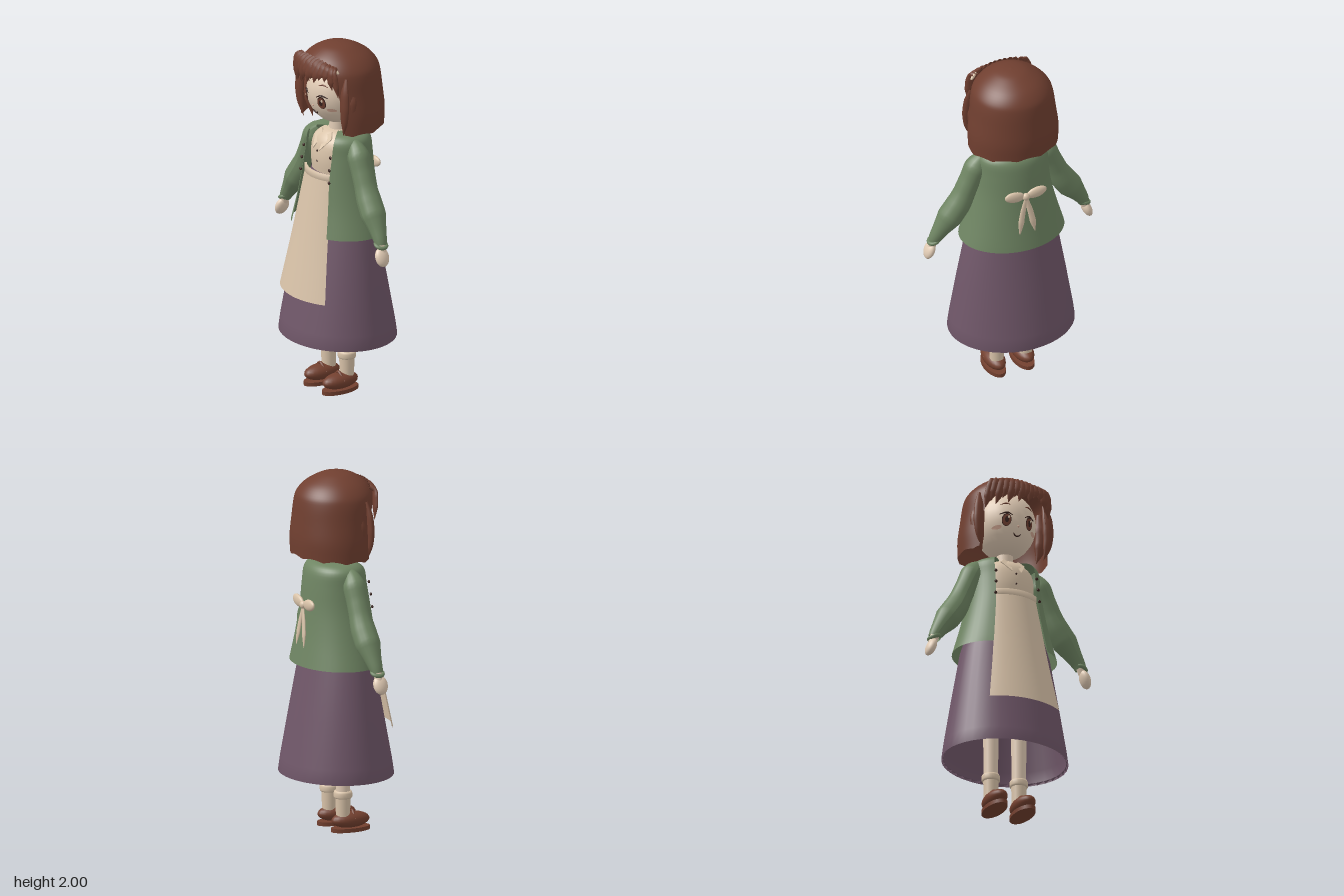
import * as THREE from 'three';

const mat = (name, color, side = THREE.FrontSide) => {
  const m = new THREE.MeshStandardMaterial({ color, side });
  m.name = name;
  return m;
};

export function createModel() {
  const D = THREE.DoubleSide;
  const M = {
    skin: mat('skin', 0xe3cdb6),
    cream: mat('cream cloth', 0xd9c3a9, D),
    green: mat('green knit', 0x6f8563, D),
    purple: mat('purple skirt', 0x705769, D),
    hair: mat('brown hair', 0x703f30, D),
    shoe: mat('shoe leather', 0x73402f),
    dark: mat('dark brown', 0x38221d, D),
    cheek: mat('blush', 0xcfa590, D),
  };
  const root = new THREE.Group();
  root.name = 'girl';
  const add = (name, geo, m, parent = root) => {
    const mesh = new THREE.Mesh(geo, m);
    mesh.name = name;
    parent.add(mesh);
    return mesh;
  };

  // Elliptical shell, rings bottom to top: [y, rx, rz, centreZ, open half-angle].
  // With front = true only the front sector inside that half-angle is kept.
  function shell(rings, { seg = 40, steps = 4, front = false, warp } = {}) {
    const spline = (f) => new THREE.CatmullRomCurve3(rings.map(f), false, 'catmullrom', 0.5);
    const c1 = spline((r) => new THREE.Vector3(r[0], r[1], r[2]));
    const c2 = spline((r) => new THREE.Vector3(r[3] ?? 0, r[4] ?? 0, 0));
    const n = (rings.length - 1) * steps;
    const closed = !front && rings.every((r) => !r[4]);
    const cols = closed ? seg : seg + 1;
    const pos = [], idx = [];
    for (let i = 0; i <= n; i++) {
      const p = c1.getPoint(i / n), q = c2.getPoint(i / n), open = Math.max(q.y, 0);
      const a0 = front ? -open : open, a1 = front ? open : 2 * Math.PI - open;
      for (let j = 0; j < cols; j++) {
        const a = a0 + ((a1 - a0) * j) / seg;
        const y = warp ? warp(p.x, a) : p.x;
        pos.push(p.y * Math.sin(a), y, q.x + p.z * Math.cos(a));
      }
    }
    for (let i = 0; i < n; i++) for (let j = 0; j < seg; j++) {
      const k = (j + 1) % cols, a = i * cols, b = a + cols;
      idx.push(a + j, a + k, b + k, a + j, b + k, b + j);
    }
    const g = new THREE.BufferGeometry();
    g.setAttribute('position', new THREE.Float32BufferAttribute(pos, 3));
    g.setIndex(idx);
    g.computeVertexNormals();
    return g;
  }

  // Tube with varying radius: points [x, y, z, r]; flat squeezes its depth.
  function limb(pts, { flat = 1, n = 18, sides = 12 } = {}) {
    const curve = new THREE.CatmullRomCurve3(pts.map((p) => new THREE.Vector3(p[0], p[1], p[2])));
    const g = new THREE.TubeGeometry(curve, n, 1, sides, false);
    const pos = g.attributes.position;
    for (let i = 0; i < pos.count; i++) {
      const t = Math.floor(i / (sides + 1)) / n, P = curve.getPointAt(t);
      const u = t * (pts.length - 1), k = Math.min(Math.floor(u), pts.length - 2);
      const r = THREE.MathUtils.lerp(pts[k][3], pts[k + 1][3], u - k);
      pos.setXYZ(i, P.x + (pos.getX(i) - P.x) * r, P.y + (pos.getY(i) - P.y) * r,
        P.z + (pos.getZ(i) - P.z) * r * flat);
    }
    g.computeVertexNormals();
    return g;
  }

  const ball = (name, m, [x, y, z], [sx, sy, sz], rz = 0) => {
    const b = add(name, new THREE.SphereGeometry(1, 24, 16), m);
    b.position.set(x, y, z);
    b.scale.set(sx, sy, sz);
    b.rotation.z = rz;
    return b;
  };
  const rod = (name, m, [x, y, z], rTop, rBottom, h) => {
    const c = add(name, new THREE.CylinderGeometry(rTop, rBottom, h, 20), m);
    c.position.set(x, y, z);
    return c;
  };

  // Clothes
  add('skirt', shell([[0.33, 0.343, 0.293], [0.32, 0.355, 0.305], [0.4, 0.345, 0.293], [0.65, 0.306, 0.247],
    [0.94, 0.257, 0.193], [1.15, 0.19, 0.155], [1.275, 0.155, 0.136]], { steps: 1 }), M.purple);
  add('blouse', shell([[1.25, 0.15, 0.13], [1.35, 0.16, 0.138], [1.44, 0.15, 0.122],
    [1.49, 0.09, 0.08], [1.505, 0.04, 0.04]]), M.cream);
  add('cardigan', shell([[0.94, 0.298, 0.235, -0.005, 0.58], [1.1, 0.252, 0.207, -0.005, 0.6],
    [1.25, 0.218, 0.187, -0.005, 0.62], [1.38, 0.203, 0.17, -0.01, 0.64], [1.46, 0.197, 0.157, -0.01, 0.66],
    [1.495, 0.16, 0.128, -0.01, 0.7], [1.505, 0.1, 0.085, -0.01, 0.75], [1.5, 0.06, 0.055, -0.01, 0.8]]), M.green);
  add('apron', shell([[0.58, 0.34, 0.3, 0, 0.67], [0.9, 0.265, 0.236, 0, 0.67], [1.27, 0.19, 0.166, 0, 0.69]],
    { front: true, seg: 20 }), M.cream);
  add('apronWaistband', shell([[1.25, 0.185, 0.16, 0, 0.72], [1.25, 0.195, 0.174, 0, 0.7],
    [1.285, 0.193, 0.172, 0, 0.7], [1.285, 0.183, 0.158, 0, 0.72]], { front: true, seg: 20, steps: 1 }), M.cream);

  // Apron bow at the back
  ball('bowKnot', M.cream, [0, 1.27, -0.2], [0.022, 0.022, 0.018]);
  for (const s of [-1, 1]) {
    ball('bowLoop', M.cream, [s * 0.065, 1.28, -0.195], [0.06, 0.032, 0.017], s * 0.15);
    add('bowTail', limb([[0, 1.26, -0.2, 0.01], [s * 0.025, 1.16, -0.207, 0.016], [s * 0.045, 1.04, -0.217, 0.018],
      [s * 0.046, 1.03, -0.217, 0.001]], { flat: 0.45 }), M.cream);
  }

  // Blouse collar and buttons
  for (const s of [-1, 1]) {
    const flap = new THREE.Shape([[0.008, 1.475], [0.028, 1.405], [0.072, 1.47], [0.045, 1.5]]
      .map(([x, y]) => new THREE.Vector2(s * x, y)));
    const g = new THREE.ExtrudeGeometry(flap, { depth: 0.008, bevelEnabled: false });
    const p = g.attributes.position;
    for (let i = 0; i < p.count; i++) p.setZ(i, p.getZ(i) + 0.065 + (1.5 - p.getY(i)) * 0.78);
    g.computeVertexNormals();
    add('collarFlap', g, M.cream);
    for (const [x, y, z] of [[0.124, 1.39, 0.138], [0.128, 1.32, 0.148], [0.133, 1.25, 0.153]])
      ball('cardiganButton', M.dark, [s * x, y, z], [0.009, 0.009, 0.006]);
  }
  for (const y of [1.395, 1.335]) ball('blouseButton', M.dark, [0, y, 0.137], [0.006, 0.006, 0.005]);

  // Arms, legs and shoes
  for (const s of [-1, 1]) {
    add('sleeve', limb([[s * 0.15, 1.465, 0.005, 0.03], [s * 0.19, 1.425, 0.008, 0.064], [s * 0.24, 1.32, 0.01, 0.06],
      [s * 0.3, 1.19, 0.012, 0.061], [s * 0.36, 1.1, 0.017, 0.069], [s * 0.405, 1.035, 0.022, 0.07],
      [s * 0.438, 0.98, 0.028, 0.048], [s * 0.446, 0.96, 0.03, 0.032]], { n: 32, sides: 18 }), M.green);
    const cuff = add('cuff', new THREE.TorusGeometry(0.03, 0.011, 10, 24), M.green);
    cuff.position.set(s * 0.446, 0.964, 0.03);
    cuff.rotation.set(Math.PI / 2, s * -0.4, 0);
    rod('wrist', M.skin, [s * 0.452, 0.945, 0.032], 0.025, 0.022, 0.05).rotation.z = s * 0.35;
    ball('hand', M.skin, [s * 0.468, 0.9, 0.038], [0.026, 0.054, 0.042], s * 0.38);

    const x = s * 0.085;
    rod('leg', M.skin, [x, 0.38, 0], 0.045, 0.038, 0.42);
    rod('sock', M.cream, [x, 0.14, 0], 0.043, 0.038, 0.14);
    const top = add('sockCuff', new THREE.CapsuleGeometry(0.012, 0.022, 6, 12), M.cream);
    top.geometry = new THREE.LatheGeometry([[0.036, 0.186], [0.047, 0.188], [0.051, 0.196], [0.051, 0.216],
      [0.047, 0.226], [0.036, 0.228]].map(([a, b]) => new THREE.Vector2(a, b)), 24);
    top.position.x = x;
    ball('shoe', M.shoe, [x, 0.062, 0.045], [0.056, 0.045, 0.112]);
    rod('sole', M.shoe, [x, 0.011, 0.045], 1, 1, 0.022).scale.set(0.055, 1, 0.115);
    add('shoeStrap', limb([[x - 0.05, 0.07, 0.05, 0.008], [x, 0.113, 0.055, 0.008], [x + 0.05, 0.07, 0.05, 0.008]],
      { sides: 8 }), M.shoe);
  }

  // Neck and head
  rod('neck', M.skin, [0, 1.53, 0], 0.045, 0.047, 0.1);
  const H = { y: 1.73, rx: 0.168, ry: 0.19, rz: 0.173 };
  ball('head', M.skin, [0, H.y, 0], [H.rx, H.ry, H.rz]);
  const faceZ = (x, y) => H.rz * Math.sqrt(Math.max(0, 1 - (x / H.rx) ** 2 - ((y - H.y) / H.ry) ** 2));

  // Face details laid on the head
  function patch(name, m, x, y, w, h, lift) {
    const g = new THREE.CircleGeometry(1, 24), p = g.attributes.position;
    for (let i = 0; i < p.count; i++) {
      const px = x + p.getX(i) * w, py = y + p.getY(i) * h;
      p.setXYZ(i, px, py, faceZ(px, py) + lift);
    }
    g.computeVertexNormals();
    add(name, g, m);
  }
  const line = (name, m, pts, r) => add(name, limb(pts.map(([x, y], i) =>
    [x, y, faceZ(x, y) + 0.002, i % (pts.length - 1) ? r : r * 0.4]), { sides: 8 }), m);
  for (const s of [-1, 1]) {
    patch('eyeOutline', M.dark, s * 0.068, 1.698, 0.024, 0.036, 0.003);
    patch('iris', M.hair, s * 0.068, 1.696, 0.021, 0.032, 0.005);
    patch('pupil', M.dark, s * 0.068, 1.698, 0.01, 0.017, 0.007);
    patch('eyeShine', M.cream, s * 0.068 + 0.008, 1.711, 0.006, 0.008, 0.009);
    patch('cheek', M.cheek, s * 0.108, 1.658, 0.02, 0.011, 0.004);
    line('eyelash', M.dark, [[s * 0.038, 1.726], [s * 0.066, 1.74], [s * 0.102, 1.73]], 0.005);
    line('brow', M.hair, [[s * 0.045, 1.792], [s * 0.068, 1.799], [s * 0.095, 1.79]], 0.004);
  }
  ball('nose', M.cheek, [0, 1.667, faceZ(0, 1.667)], [0.006, 0.005, 0.006]);
  line('mouth', M.dark, [[-0.022, 1.632], [-0.01, 1.62], [0, 1.618], [0.01, 1.62], [0.022, 1.632]], 0.004);

  // Hair: open-fronted bob with a ragged hem, then locks
  const hem = (y, a) => y + Math.max(0, (1.7 - y) / 0.16) * (0.012 * Math.abs(Math.sin(a * 5.5)) - 0.012
    + 0.018 * Math.max(0, -Math.cos(a)));
  add('hairCap', shell([[1.54, 0.25, 0.218, -0.028, 0.95], [1.64, 0.251, 0.222, -0.027, 0.92],
    [1.75, 0.238, 0.22, -0.02, 0.88], [1.84, 0.227, 0.217, -0.013, 0.75], [1.89, 0.21, 0.205, -0.01, 0.12],
    [1.94, 0.165, 0.165, -0.006, 0.001], [1.98, 0.1, 0.1, 0, 0.001], [1.995, 0.05, 0.05, 0, 0.001],
    [2, 0.001, 0.001, 0, 0.001]], { seg: 72, warp: hem }), M.hair);
  const arc = (x, depth) => depth * Math.sqrt(1 - (x / 0.27) ** 2);
  // Fringe locks: [rootX, tipX, tipY]
  for (const [a, b, y] of [[-0.14, -0.19, 1.75], [-0.12, -0.165, 1.79], [-0.085, -0.14, 1.77], [-0.06, -0.105, 1.81],
    [-0.03, -0.075, 1.785], [0, -0.045, 1.82], [0.025, -0.015, 1.8], [0.05, 0.015, 1.83], [0.075, 0.045, 1.815],
    [0.1, 0.08, 1.84], [0.125, 0.12, 1.84], [0.145, 0.165, 1.8], [0.16, 0.195, 1.76]]) {
    const m = a * 0.45 + b * 0.55;
    add('fringeLock', limb([[a, 1.945 - a * a, arc(a, 0.155), 0.012], [a * 0.7 + b * 0.3, 1.91, arc(a, 0.182), 0.026],
      [m, 1.865, arc(m, 0.198), 0.024], [b, y, arc(b, 0.196), 0.001]], { flat: 0.5, sides: 8 }), M.hair);
  }
  for (const s of [-1, 1]) {
    add('sideLock', limb([[s * 0.195, 1.86, 0.085, 0.012], [s * 0.205, 1.78, 0.1, 0.03], [s * 0.21, 1.66, 0.105, 0.033],
      [s * 0.2, 1.58, 0.1, 0.025], [s * 0.185, 1.53, 0.095, 0.001]], { flat: 0.6 }), M.hair);
    add('innerLock', limb([[s * 0.19, 1.82, 0.04, 0.02], [s * 0.195, 1.68, 0.05, 0.04], [s * 0.18, 1.58, 0.05, 0.035],
      [s * 0.165, 1.525, 0.05, 0.001]], { flat: 0.8 }), M.hair);
  }
  const clip = ball('hairClip', M.cream, [0.163, 1.908, 0.132], [0.027, 0.01, 0.009], -0.55);
  clip.rotation.y = 0.5;
  return root;
}
